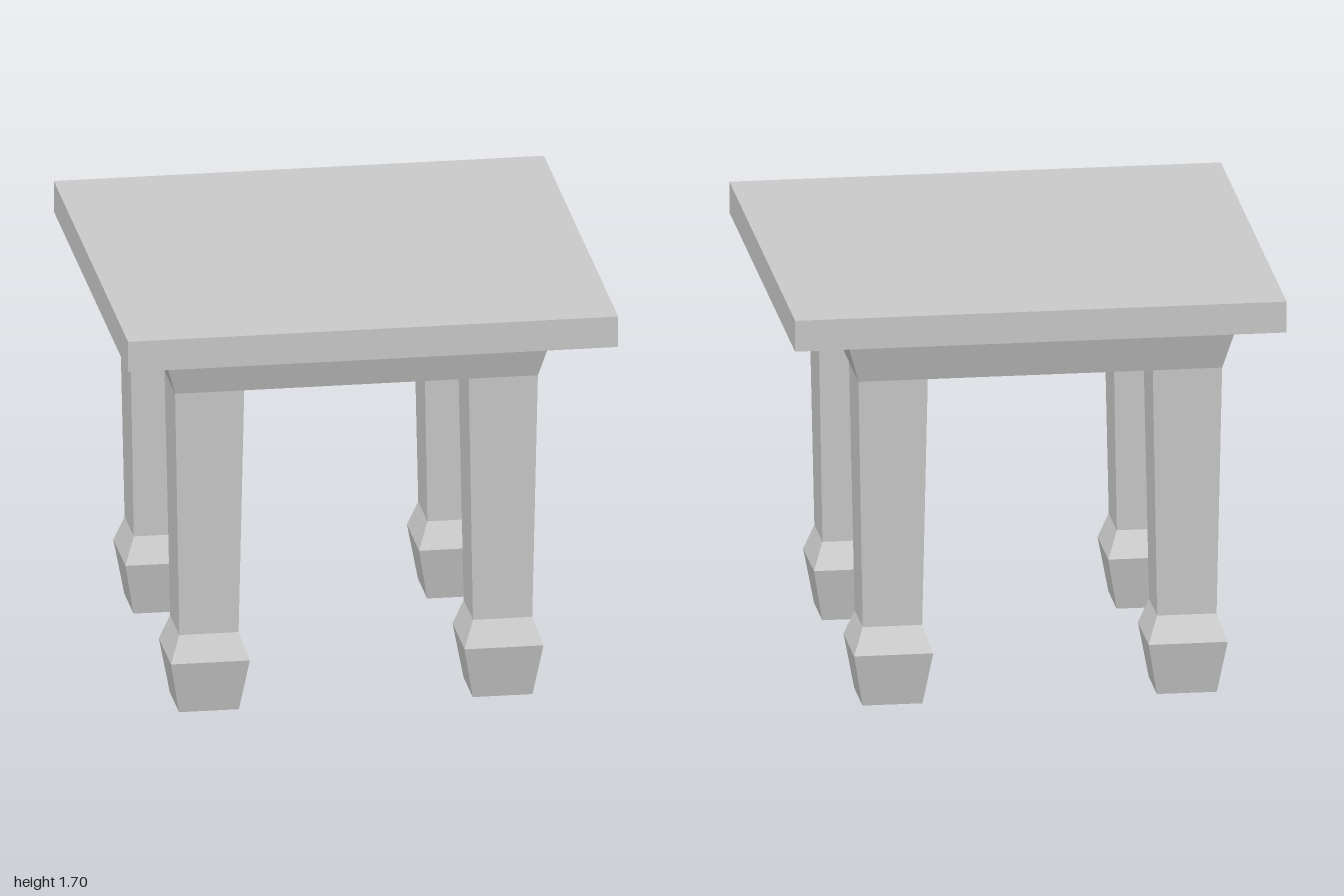
import * as THREE from 'three';

const material = new THREE.MeshStandardMaterial({ color: 0xcccccc, flatShading: true });

// Square-section turning: profile is [half width, height], listed bottom to top on the outside
function squareLathe(profile) {
  const points = profile.map(([half, y]) => new THREE.Vector2(half * Math.SQRT2, y));
  return new THREE.LatheGeometry(points, 4, Math.PI / 4);
}

function addMesh(parent, name, geometry, x, y, z) {
  const mesh = new THREE.Mesh(geometry, material);
  mesh.name = name;
  mesh.position.set(x, y, z);
  parent.add(mesh);
  return mesh;
}

export function createModel() {
  const model = new THREE.Group();
  model.name = 'table';

  // Flat slab top
  addMesh(model, 'tableTop', new THREE.BoxGeometry(2, 0.13, 1.964), 0, 1.635, 0);

  // Base sits slightly off the centre of the top
  const base = new THREE.Group();
  base.name = 'base';
  base.position.set(-0.026, 0, -0.032);
  model.add(base);

  // Hollow apron frame, flaring outward towards the top
  const apron = squareLathe([[0.458, 1.57], [0.458, 1.37], [0.74, 1.37], [0.797, 1.57]]);
  apron.scale(1, 1, 1.005);
  addMesh(base, 'apron', apron, 0, 0, 0);

  // Four tapered legs with bulged feet
  const leg = squareLathe([[0, 0], [0.122, 0], [0.161, 0.22], [0.121, 0.33], [0.141, 1.37]]);
  for (const [front, sz] of [['front', 1], ['back', -1]]) {
    for (const [side, sx] of [['Left', 1], ['Right', -1]]) {
      addMesh(base, `${front}${side}Leg`, leg, sx * 0.599, 0, sz * 0.602);
    }
  }
  return model;
}
